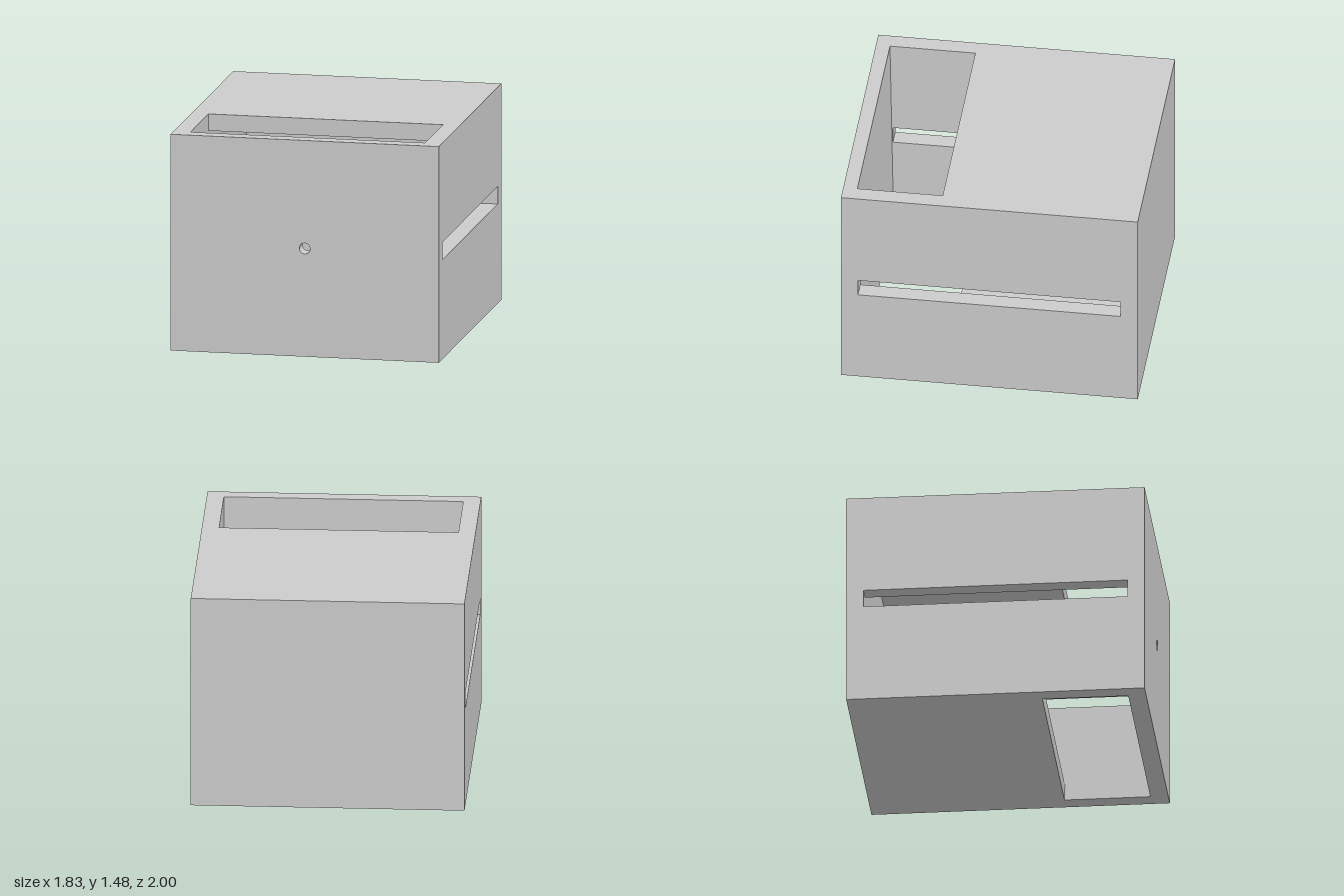
import * as THREE from 'three';

// Overall size and wall thickness
const W = 1.83, H = 1.478, D = 2, T = 0.115;
const IN = W - 2 * T;
const MID = H / 2;
const LEAN = 0.025; // the chute leans forward by this much over the full height

const chuteBack = (y) => 0.305 + LEAN * y / H;
const chuteFront = (y) => 0.88 + LEAN * y / H;

const polygon = (pts) => new THREE.Shape(pts.map(([a, b]) => new THREE.Vector2(a, b)));

// Extrudes a (z, y) profile along x, centred on x
function extrudeAlongX(shape, width, x = 0) {
  const geo = new THREE.ExtrudeGeometry(shape, { depth: width, bevelEnabled: false });
  geo.translate(0, 0, -width / 2);
  geo.rotateY(-Math.PI / 2);
  geo.translate(x, 0, 0);
  return geo;
}

export function createModel() {
  const group = new THREE.Group();
  const material = new THREE.MeshStandardMaterial({ color: 0xcccccc });
  const add = (name, geo) => {
    const mesh = new THREE.Mesh(geo, material);
    mesh.name = name;
    group.add(mesh);
  };

  // Side walls, each with a long horizontal slot
  for (const [name, side] of [['leftWall', 1], ['rightWall', -1]]) {
    const wall = polygon([[-D / 2, 0], [D / 2, 0], [D / 2, H], [-D / 2, H]]);
    const z = D / 2 - T, h = 0.06;
    wall.holes.push(polygon([[-z, MID - h], [-z, MID + h], [z, MID + h], [z, MID - h]]));
    add(name, extrudeAlongX(wall, T, side * (W - T) / 2));
  }

  // Back wall
  const back = new THREE.BoxGeometry(IN, H, T);
  back.translate(0, MID, -(D - T) / 2);
  add('backWall', back);

  // Roof and floor, stopping at the leaning edge of the chute opening
  for (const [name, y0, y1] of [['floor', 0, T], ['roof', H - T, H]]) {
    const z0 = -D / 2 + T;
    add(name, extrudeAlongX(polygon([[z0, y0], [chuteBack(y0), y0], [chuteBack(y1), y1], [z0, y1]]), IN));
  }

  // Front wall with a small round hole and a leaning inner face
  const front = polygon([[-IN / 2, 0], [IN / 2, 0], [IN / 2, H], [-IN / 2, H]]);
  front.holes.push(new THREE.Path().absarc(0, MID, 0.037, 0, Math.PI * 2, true));
  const geo = new THREE.ExtrudeGeometry(front, { depth: 1, bevelEnabled: false, curveSegments: 32 });
  const pos = geo.attributes.position;
  for (let i = 0; i < pos.count; i++) {
    pos.setZ(i, pos.getZ(i) > 0.5 ? D / 2 : chuteFront(pos.getY(i)));
  }
  geo.computeVertexNormals();
  add('frontWall', geo);

  return group;
}
